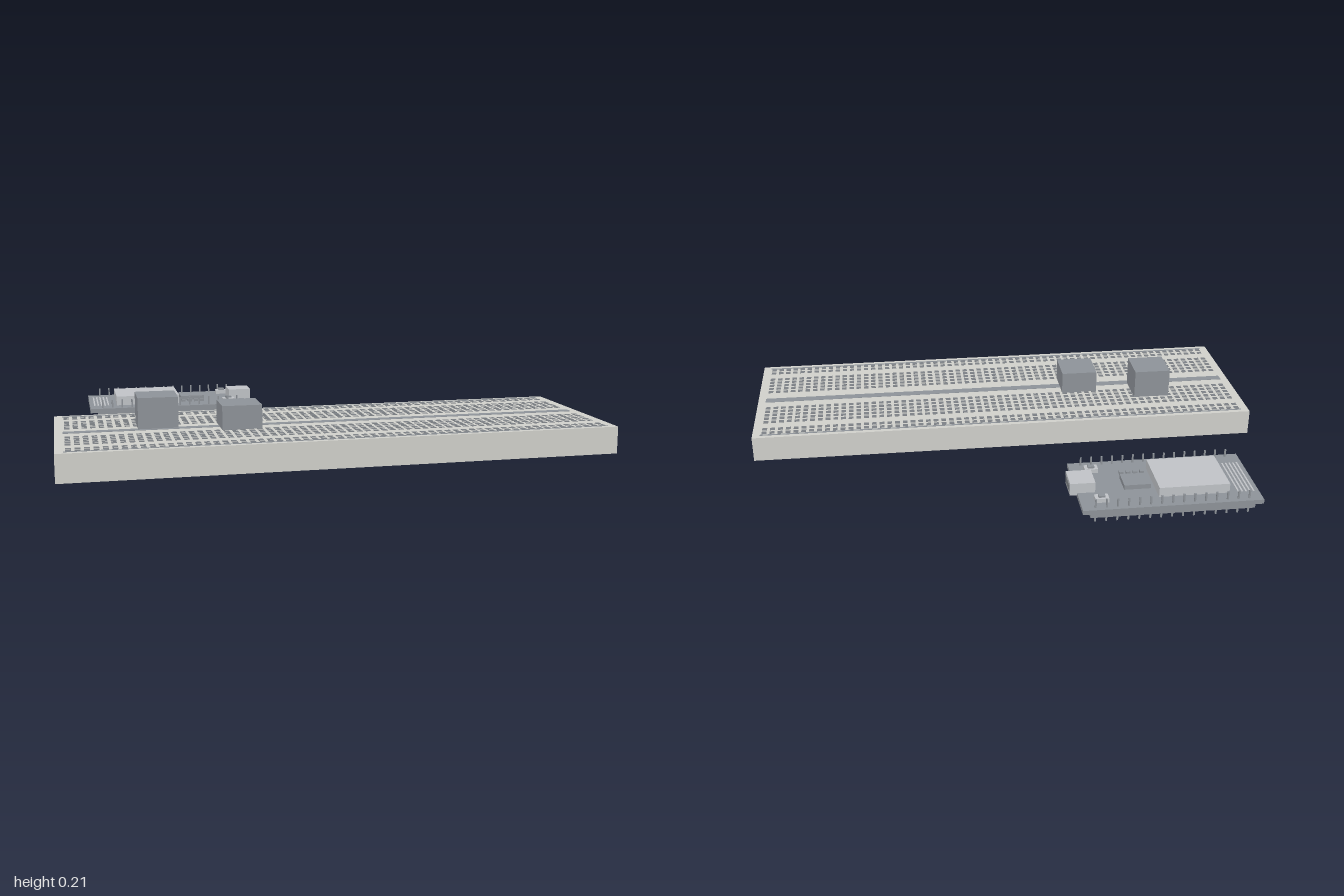
import * as THREE from 'three';

const paint = (color) => new THREE.MeshStandardMaterial({ color });
const ivory = paint(0xcfcfca);
const dark = paint(0x8d9298);
const hole = paint(0x7c8085);
const metal = paint(0xbfc2c6);

// Box given by its [min, max] extent on each axis
function block(parent, name, [x0, x1], [y0, y1], [z0, z1], material) {
  const mesh = new THREE.Mesh(new THREE.BoxGeometry(x1 - x0, y1 - y0, z1 - z0), material);
  mesh.position.set((x0 + x1) / 2, (y0 + y1) / 2, (z0 + z1) / 2);
  mesh.name = name;
  parent.add(mesh);
  return mesh;
}

function group(parent, name) {
  const g = new THREE.Group();
  g.name = name;
  parent.add(g);
  return g;
}

function buildBreadboard(parent) {
  const board = group(parent, 'breadboard');
  block(board, 'boardBody', [-1, 1], [0, 0.1], [-0.02, 0.645], ivory);
  block(board, 'centreGroove', [-0.97, 0.97], [0.096, 0.101], [0.29, 0.325], dark);
  for (const z of [0.002, 0.622]) {
    block(board, 'railLine', [-0.97, 0.97], [0.096, 0.101], [z - 0.004, z + 0.004], dark);
  }

  // Contact holes: two power rails and two banks of five rows
  const pitch = 0.0308;
  const columns = 63;
  const rows = [0.02, 0.05];
  for (const start of [0.112, 0.388]) {
    for (let i = 0; i < 5; i++) rows.push(start + i * pitch);
  }
  rows.push(0.575, 0.606);
  const holes = group(board, 'contactHoles');
  const geometry = new THREE.BoxGeometry(0.019, 0.004, 0.019);
  for (const z of rows) {
    for (let c = 0; c < columns; c++) {
      const mesh = new THREE.Mesh(geometry, hole);
      mesh.name = 'contactHole';
      mesh.position.set((c - (columns - 1) / 2) * pitch, 0.0992, z);
      holes.add(mesh);
    }
  }
}

function buildController(parent) {
  const board = group(parent, 'controllerBoard');
  const midZ = -0.476;
  const top = 0.07;
  block(board, 'circuitBoard', [-0.855, -0.197], [0.053, top], [-0.645, -0.307], dark);

  // Pin headers along both long edges
  for (const side of [-1, 1]) {
    const z = midZ + side * 0.151;
    block(board, 'pinHeader', [-0.825, -0.225], [0.036, 0.053], [z - 0.014, z + 0.014], dark);
    for (let i = 0; i < 15; i++) {
      const x = -0.805 + i * 0.04;
      block(board, 'pin', [x - 0.003, x + 0.003], [0.013, 0.103], [z - 0.003, z + 0.003], dark);
    }
  }

  // Radio module with printed aerial
  block(board, 'radioShield', [-0.745, -0.485], [top, 0.107], [-0.583, -0.374], metal);
  for (let i = 0; i < 5; i++) {
    const x = -0.835 + i * 0.014;
    block(board, 'aerialTrace', [x - 0.003, x + 0.003], [top - 0.002, top + 0.002], [-0.583, -0.374], metal);
  }

  // Chip and the row of small components beside it
  block(board, 'chip', [-0.47, -0.371], [top, 0.088], [-0.52, -0.438], dark);
  for (let i = 0; i < 4; i++) {
    const x = -0.462 + i * 0.026;
    block(board, 'smallComponent', [x - 0.008, x + 0.008], [top, 0.08], [-0.411, -0.398], dark);
  }

  // Two push buttons mirrored about the centre line
  for (const side of [-1, 1]) {
    const z = midZ + side * 0.105;
    block(board, 'buttonBase', [-0.3, -0.25], [top, 0.086], [z - 0.017, z + 0.017], metal);
    block(board, 'buttonCap', [-0.287, -0.263], [0.086, 0.093], [z - 0.009, z + 0.009], dark);
  }

  // Cable socket overhanging the board end
  block(board, 'cableSocket', [-0.263, -0.17], [0.062, 0.11], [-0.524, -0.43], metal);
  block(board, 'socketOpening', [-0.175, -0.168], [0.075, 0.1], [-0.512, -0.441], hole);
}

export function createModel() {
  const model = new THREE.Group();
  model.name = 'prototypingKit';
  buildBreadboard(model);
  buildController(model);
  // Plain blocks standing on the breadboard
  block(model, 'tallBlock', [-0.705, -0.56], [0.1, 0.214], [0.163, 0.307], dark);
  block(model, 'shortBlock', [-0.412, -0.267], [0.1, 0.187], [0.24, 0.385], dark);
  return model;
}
